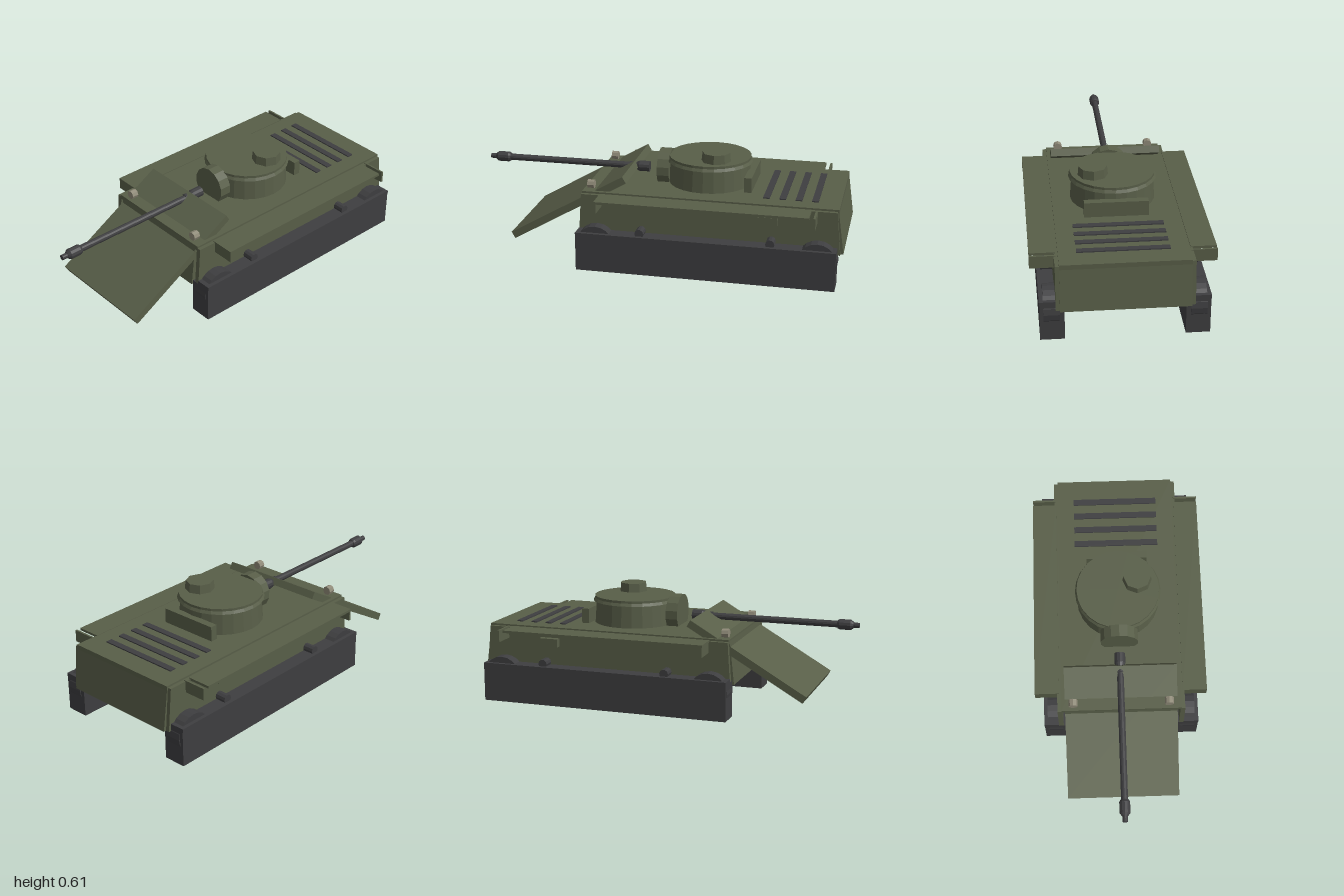
import * as THREE from 'three';

const GREEN = new THREE.MeshStandardMaterial({ color: 0x585e48, flatShading: true, side: THREE.DoubleSide });
const DARK = new THREE.MeshStandardMaterial({ color: 0x3e3e40, flatShading: true });
const LAMP = new THREE.MeshStandardMaterial({ color: 0x8f8a78, flatShading: true });

export function createModel() {
  const root = new THREE.Group();
  root.name = 'tank';

  const add = (name, geo, mat, x = 0, y = 0, z = 0) => {
    const m = new THREE.Mesh(geo, mat);
    m.name = name;
    m.position.set(x, y, z);
    root.add(m);
    return m;
  };
  // box from its minimum and maximum on each axis
  const box = (name, mat, x0, x1, y0, y1, z0, z1) =>
    add(name, new THREE.BoxGeometry(x1 - x0, y1 - y0, z1 - z0), mat,
      (x0 + x1) / 2, (y0 + y1) / 2, (z0 + z1) / 2);
  // side outline given as [z, y] points, extruded across x0..x1
  const profile = (name, mat, pts, x0, x1) => {
    const shape = new THREE.Shape(pts.map(([z, y]) => new THREE.Vector2(-z, y)));
    const geo = new THREE.ExtrudeGeometry(shape, { depth: x1 - x0, bevelEnabled: false });
    geo.rotateY(Math.PI / 2);
    return add(name, geo, mat, x0, 0, 0);
  };
  // cylinder lying along x
  const axle = (name, mat, r, x0, x1, y, z, n) =>
    add(name, new THREE.CylinderGeometry(r, r, x1 - x0, n).rotateZ(Math.PI / 2), mat, (x0 + x1) / 2, y, z);
  // cylinder lying along z: rFront at z1, rBack at z0
  const rod = (name, mat, rFront, rBack, x, y, z0, z1, n) =>
    add(name, new THREE.CylinderGeometry(rFront, rBack, z1 - z0, n).rotateX(Math.PI / 2), mat, x, y, (z0 + z1) / 2);

  // Hull: open-bottomed shell of plates
  box('deck', GREEN, -0.32, 0.32, 0.385, 0.41, -0.97, 0.385);
  profile('frontPlate', GREEN, [[0.36, 0.4], [0.385, 0.4], [0.41, 0.17], [0.385, 0.17]], -0.3, 0.3);
  profile('rearPlate', GREEN, [[-0.945, 0.4], [-0.967, 0.405], [-1, 0.17], [-0.975, 0.17]], -0.32, 0.32);

  // Sloping plate at the front
  const glacis = add('frontSlopePlate', new THREE.BoxGeometry(0.6, 0.04, 0.72), GREEN, 0, 0.299, 0.472);
  glacis.rotation.x = Math.PI / 6;

  for (const s of [1, -1]) {
    const sided = (a, b) => (s > 0 ? [a, b] : [-b, -a]);
    const side = s > 0 ? 'left' : 'right';

    // Hull side and its stowage box
    profile(side + 'HullSide', GREEN,
      [[0.385, 0.4], [0.4, 0.17], [-0.985, 0.17], [-0.963, 0.4]], ...sided(0.315, 0.34));
    box(side + 'StowageBox', GREEN, ...sided(0.3, 0.37), 0.312, 0.357, -0.66, -0.555);

    // Fender with end flaps
    box(side + 'Fender', GREEN, ...sided(0.33, 0.46), 0.392, 0.405, -0.83, 0.285);
    box(side + 'FrontFlap', GREEN, ...sided(0.33, 0.46), 0.34, 0.404, 0.273, 0.284);
    box(side + 'RearFlap', GREEN, ...sided(0.33, 0.46), 0.34, 0.404, -0.863, -0.852);

    // Track, end wheels and return rollers
    box(side + 'Track', DARK, ...sided(0.297, 0.418), 0, 0.192, -0.97, 0.4);
    box(side + 'TrackTop', DARK, ...sided(0.34, 0.42), 0.19, 0.21, -0.97, 0.4);
    for (const z of [0.298, -0.872]) axle(side + 'EndWheel', DARK, 0.105, ...sided(0.32, 0.4), 0.14, z, 20);
    for (const z of [0.058, -0.63]) axle(side + 'ReturnRoller', DARK, 0.024, ...sided(0.33, 0.4), 0.223, z, 10);

    // Headlight
    rod(side + 'Headlight', LAMP, 0.024, 0.024, s * 0.255, 0.432, 0.332, 0.368, 8);
  }

  // Engine vents
  for (let i = 0; i < 4; i++) {
    const z = -0.838 + i * 0.085;
    box('engineVent', DARK, -0.23, 0.23, 0.4, 0.416, z - 0.017, z + 0.017);
  }

  // Turret: tapered body, flared rim and roof in one turned profile
  const turret = [[0, 0.405], [0.223, 0.405], [0.214, 0.53], [0.231, 0.53], [0.222, 0.545], [0.222, 0.558], [0, 0.558]]
    .map(([r, y]) => new THREE.Vector2(r, y));
  add('turret', new THREE.LatheGeometry(turret, 24), GREEN, 0, 0, -0.245);
  add('cupola', new THREE.CylinderGeometry(0.074, 0.079, 0.05, 8), GREEN, 0.105, 0.581, -0.295);
  box('turretBin', GREEN, -0.165, 0.165, 0.412, 0.492, -0.495, -0.455);
  rod('mantlet', GREEN, 0.102, 0.102, 0, 0.473, -0.035, 0.03, 14);

  // Gun
  const gun = [
    ['gunSleeve', 0.029, 0.029, 0.09, 0.145],
    ['gunSleeveTaper', 0.018, 0.029, 0.145, 0.17],
    ['gunCollar', 0.023, 0.023, 0.17, 0.2],
    ['gunBarrel', 0.018, 0.018, 0.17, 0.9],
    ['muzzleBrakeRear', 0.028, 0.022, 0.885, 0.897],
    ['muzzleBrake', 0.028, 0.028, 0.897, 0.955],
    ['muzzleBrakeFront', 0.016, 0.028, 0.955, 0.97],
    ['muzzle', 0.014, 0.014, 0.97, 1],
  ];
  for (const [name, rf, rb, z0, z1] of gun) rod(name, DARK, rf, rb, 0, 0.465, z0, z1, 12);

  return root;
}
